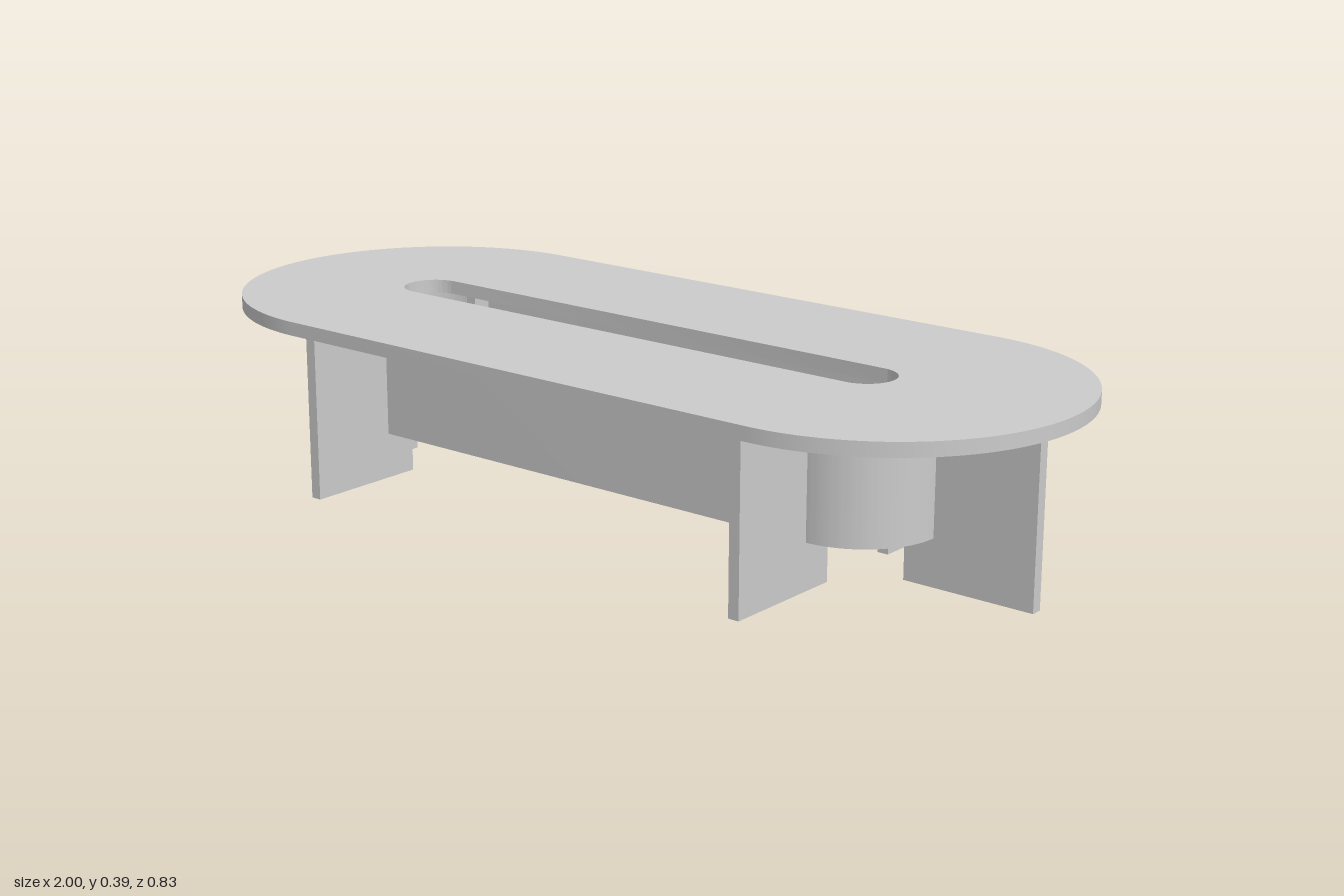
import * as THREE from 'three';
import { toCreasedNormals } from 'three/addons/utils/BufferGeometryUtils.js';

const material = new THREE.MeshStandardMaterial({ color: 0xcccccc });

// Trace a stadium outline: arc centres at x0 and x1, mid-depth z, radius r
function trace(path, x0, x1, z, r) {
  path.moveTo(x0, -z - r);
  path.lineTo(x1, -z - r);
  path.absarc(x1, -z, r, -Math.PI / 2, Math.PI / 2, false);
  path.lineTo(x0, -z + r);
  path.absarc(x0, -z, r, Math.PI / 2, Math.PI * 1.5, false);
  return path;
}

// Upright stadium ring from y0 to y1
function stadiumRing(name, outer, inner, y0, y1) {
  const shape = trace(new THREE.Shape(), ...outer);
  shape.holes.push(trace(new THREE.Path(), ...inner));
  const geo = new THREE.ExtrudeGeometry(shape, { depth: y1 - y0, bevelEnabled: false, curveSegments: 40 });
  geo.rotateX(-Math.PI / 2).translate(0, y0, 0);
  const mesh = new THREE.Mesh(toCreasedNormals(geo, 0.5), material);
  mesh.name = name;
  return mesh;
}

// Box given by its limits on each axis
function panel(name, x0, x1, y0, y1, z0, z1) {
  const mesh = new THREE.Mesh(new THREE.BoxGeometry(x1 - x0, y1 - y0, z1 - z0), material);
  mesh.position.set((x0 + x1) / 2, (y0 + y1) / 2, (z0 + z1) / 2);
  mesh.name = name;
  return mesh;
}

export function createModel() {
  const group = new THREE.Group();
  group.name = 'coffeeTable';
  const underside = 0.358, top = 0.387, board = 0.024;

  // Slotted top
  group.add(stadiumRing('tableTop', [-0.586, 0.586, 0, 0.414], [-0.591, 0.552, -0.0035, 0.0635], underside, top));

  // Hollow apron below the top
  group.add(stadiumRing('apron', [-0.584, 0.549, 0.003, 0.171], [-0.584, 0.549, 0.003, 0.171 - board], 0.098, underside));

  // Plank legs crossing the long sides
  for (const [side, x] of [['right', -0.586], ['left', 0.526]]) {
    group.add(panel(side + 'FrontLeg', x, x + board, 0, underside, 0.103, 0.378));
    group.add(panel(side + 'BackLeg', x, x + board, 0, underside, -0.376, -0.101));
  }

  // Plank legs crossing the rounded ends
  group.add(panel('rightEndLeg', -0.96, -0.672, 0, underside, -0.021, 0.003));
  group.add(panel('leftEndLeg', 0.655, 0.942, 0, underside, -0.024, 0));

  return group;
}
